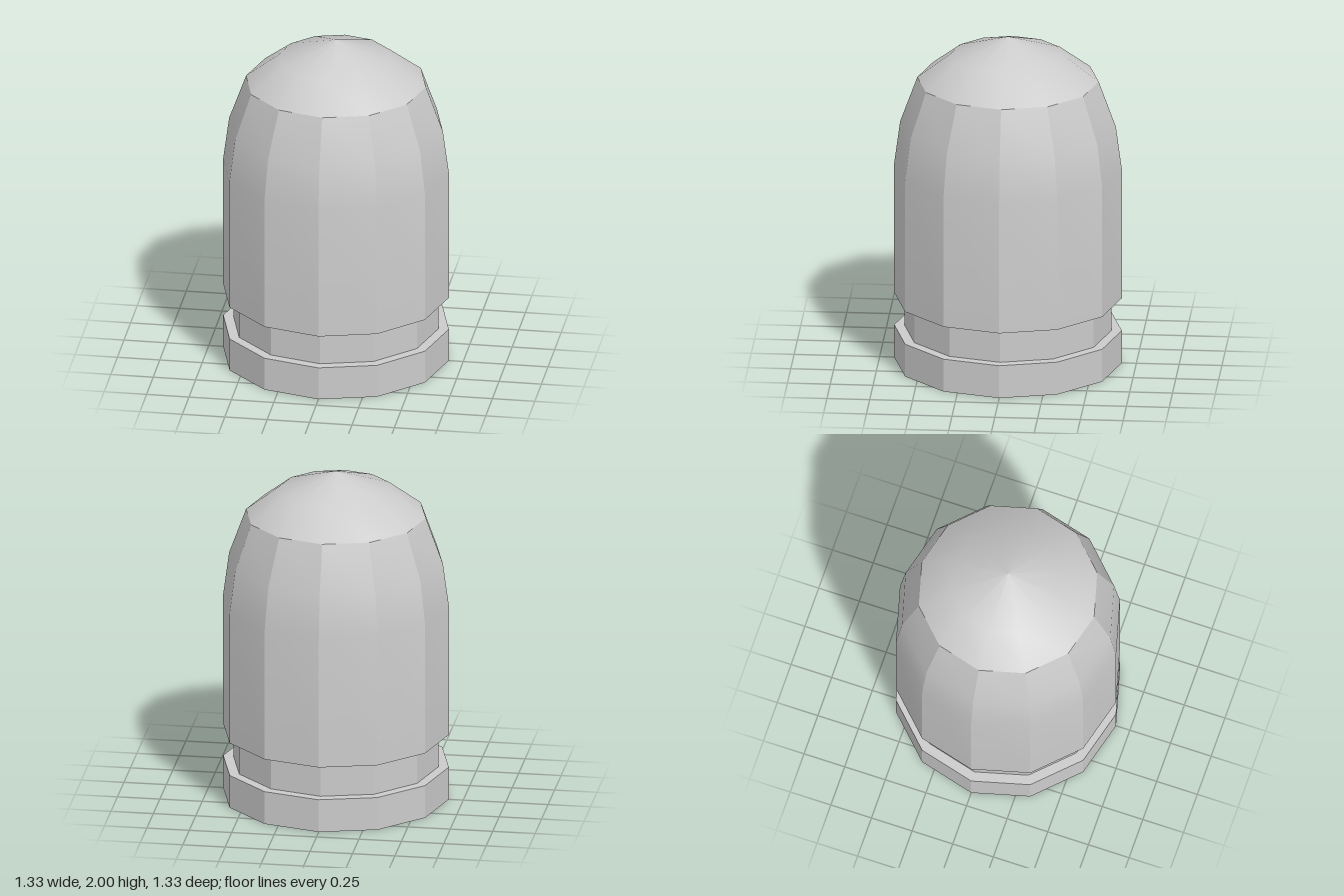
import * as THREE from 'three';
import { toCreasedNormals } from 'three/addons/utils/BufferGeometryUtils.js';

export function createModel() {
  const group = new THREE.Group();
  const material = new THREE.MeshStandardMaterial({ color: 0xcccccc });

  // Twelve-sided turned part: facets stay sharp, shallow bends stay smooth
  function turned(name, profile) {
    const points = profile.map(([r, y]) => new THREE.Vector2(r, y));
    const lathe = new THREE.LatheGeometry(points, 12);
    const mesh = new THREE.Mesh(toCreasedNormals(lathe, THREE.MathUtils.degToRad(25)), material);
    mesh.name = name;
    group.add(mesh);
  }

  // Bottom rim with its flat underside and top ledge
  turned('baseRim', [[0, 0], [0.665, 0], [0.665, 0.2], [0.605, 0.2]]);

  // Recessed groove
  turned('groove', [[0.605, 0.2], [0.605, 0.4]]);

  // Tall body, tapering in at the shoulder
  turned('body', [[0.605, 0.4], [0.665, 0.4], [0.665, 1.2], [0.63, 1.46], [0.53, 1.735]]);

  // Smooth, shallow pointed nose
  turned('nose', [[0.53, 1.735], [0.335, 1.885], [0, 2]]);

  return group;
}
